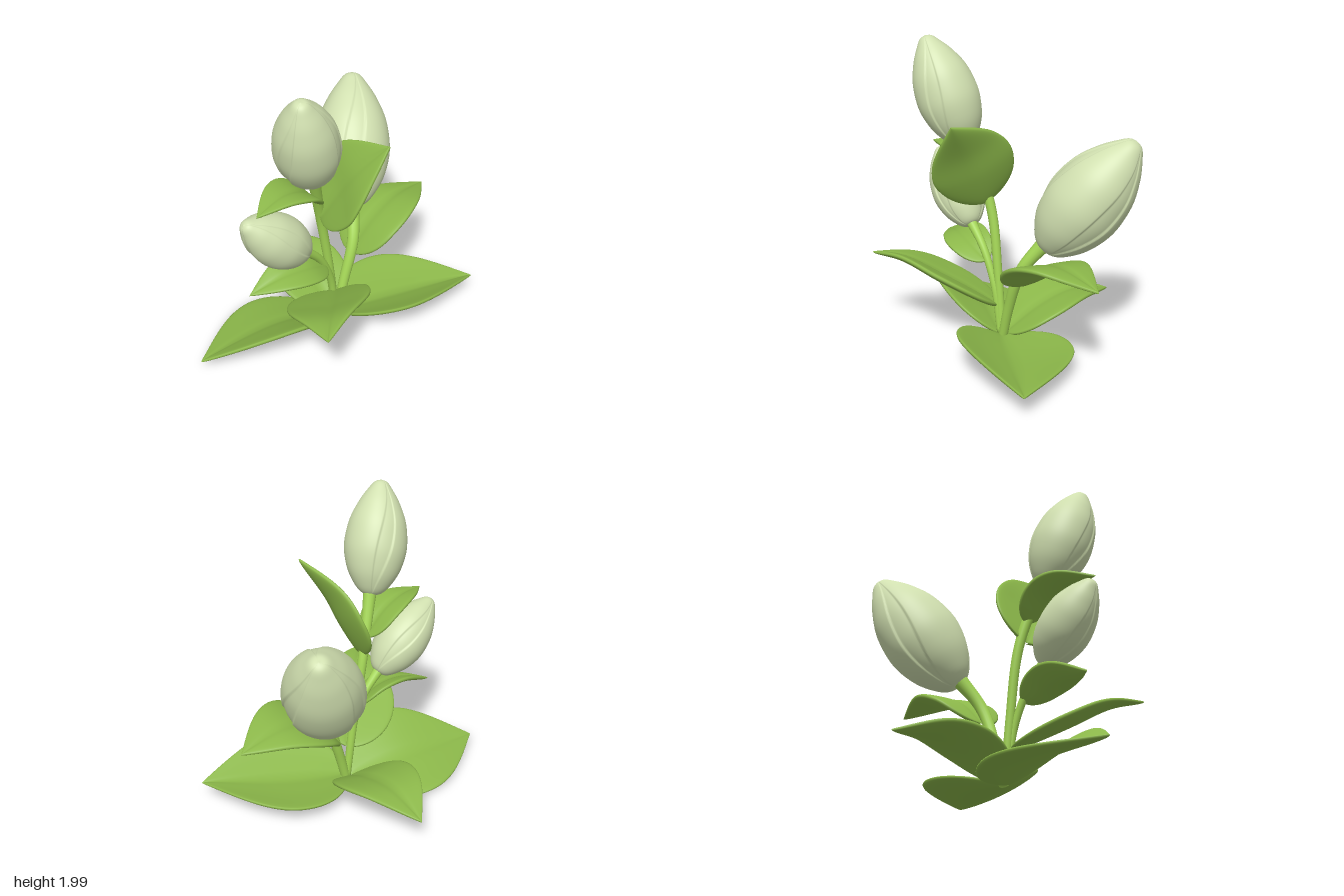
import * as THREE from 'three';

const V = (p) => new THREE.Vector3(...p);

// Closed, smooth skin over a list of rings (each counter-clockwise about the path)
function loft(rings) {
  const n = rings[0].length, pos = [], idx = [];
  rings.forEach((r) => r.forEach((p) => pos.push(p.x, p.y, p.z)));
  for (let i = 0; i < rings.length - 1; i++) {
    for (let j = 0; j < n; j++) {
      const k = (j + 1) % n;
      const a = i * n + j, b = i * n + k, c = (i + 1) * n + k, d = (i + 1) * n + j;
      idx.push(a, b, d, b, c, d);
    }
  }
  const g = new THREE.BufferGeometry();
  g.setAttribute('position', new THREE.Float32BufferAttribute(pos, 3));
  g.setIndex(idx);
  g.computeVertexNormals();
  return g;
}

// Thick cupped leaf: path = midrib, side = direction across the blade, w = half width
function leafGeometry({ path, side, w, cup = 0.16, thick = 0.028 }) {
  const curve = new THREE.CatmullRomCurve3(path.map(V));
  const rings = [], steps = 40, around = 40;
  for (let i = 0; i <= steps; i++) {
    const t = Math.min(0.9995, Math.max(0.0005, 0.5 - 0.5 * Math.cos(Math.PI * i / steps)));
    const c = curve.getPointAt(t), T = curve.getTangentAt(t);
    const S = V(side).addScaledVector(T, -V(side).dot(T)).normalize();
    const N = T.clone().cross(S);
    const s = Math.sin(Math.PI * Math.pow(t, 0.75));
    const half = w * Math.pow(s, t < 0.4 ? 0.66 : 1);
    const th = thick * Math.pow(s, 0.4);
    const ring = [];
    for (let j = 0; j < around; j++) {
      const f = j / around * Math.PI * 2, a = Math.cos(f), h = Math.sin(f);
      let lift = cup * half * Math.pow(Math.abs(a), 1.5);
      lift += th * Math.sign(h) * Math.pow(Math.abs(h), 0.6);
      if (h > 0) lift -= 0.4 * th * Math.exp(-a * a * 60); // midrib groove
      ring.push(c.clone().addScaledVector(S, a * half).addScaledVector(N, lift));
    }
    rings.push(ring);
  }
  return loft(rings);
}

// Tapered stem flaring into the bud
function stemGeometry(path, r0, r1, flare) {
  const curve = new THREE.CatmullRomCurve3(path.map(V));
  const rings = [], steps = 28, around = 16;
  const ref = new THREE.Vector3(0, 0, 1);
  const addRing = (t, r) => {
    const c = curve.getPointAt(t), T = curve.getTangentAt(t);
    const S = ref.clone().addScaledVector(T, -ref.dot(T)).normalize();
    const N = T.clone().cross(S);
    rings.push(Array.from({ length: around }, (_, j) => {
      const f = j / around * Math.PI * 2;
      return c.clone().addScaledVector(S, r * Math.cos(f)).addScaledVector(N, r * Math.sin(f));
    }));
  };
  addRing(0, 0.0005);
  for (let i = 0; i <= steps; i++) {
    const t = i / steps;
    addRing(t, r0 + (r1 - r0) * t + flare * Math.pow(t, 8));
  }
  addRing(1, 0.0005);
  return loft(rings);
}

// Egg-shaped bud: three raised outer petals with narrow lens-shaped gaps between them
const budProfile = new THREE.CatmullRomCurve3([
  [0.001, 0], [0.3, 0.012], [0.57, 0.085], [0.87, 0.24], [1, 0.42],
  [0.92, 0.62], [0.66, 0.8], [0.38, 0.92], [0.2, 0.98], [0.001, 1],
].map(([r, y]) => new THREE.Vector3(r, y, 0)));

function budGeometry(base, tip, radius, turn) {
  const B = V(base), axis = V(tip).sub(B), T = axis.clone().normalize();
  const S = new THREE.Vector3(0, 0, 1).addScaledVector(T, -T.z).normalize();
  const N = T.clone().cross(S);
  const rings = [], steps = 48, around = 210;
  for (let i = 0; i <= steps; i++) {
    const p = budProfile.getPoint(i / steps), ring = [];
    const gap = 0.025 + 0.1 * Math.sin(Math.PI * Math.min(1, Math.max(0, p.y)));
    for (let j = 0; j < around; j++) {
      const f = j / around * Math.PI * 2;
      const u = j / around * 3 % 1; // position across one petal
      const edge = Math.min(u, 1 - u);
      const raised = 0.96 + 0.04 * THREE.MathUtils.smoothstep(edge, gap - 0.016, gap + 0.01);
      const r = radius * Math.max(0.001, p.x) * raised;
      const g = f + turn + 0.6 * p.y;
      ring.push(B.clone().addScaledVector(axis, p.y)
        .addScaledVector(S, r * Math.cos(g)).addScaledVector(N, r * Math.sin(g)));
    }
    rings.push(ring);
  }
  return loft(rings);
}

export function createModel() {
  const group = new THREE.Group();
  const material = (name, color) => {
    const m = new THREE.MeshStandardMaterial({ color });
    m.name = name;
    return m;
  };
  const leafGreen = material('leaf green', 0x8cb84a);
  const stemGreen = material('stem green', 0xa4d656);
  const budCream = material('pale bud', 0xd1e0b0);
  const add = (name, geometry, mat) => {
    const mesh = new THREE.Mesh(geometry, mat);
    mesh.name = name;
    group.add(mesh);
  };

  // Stems
  add('tallStem', stemGeometry([[0.03, 0.05, 0.05], [-0.02, 0.45, 0.055], [-0.1, 0.92, 0.072], [-0.22, 1.37, 0.185]], 0.026, 0.034, 0.012), stemGreen);
  add('largeBudStem', stemGeometry([[0.04, 0.05, 0.05], [0.1, 0.28, 0.035], [0.2, 0.58, -0.01], [0.28, 0.8, -0.16]], 0.03, 0.042, 0.016), stemGreen);
  add('smallBudStem', stemGeometry([[0.02, 0.08, 0.06], [-0.03, 0.4, 0.08], [-0.13, 0.62, 0.11], [-0.28, 0.78, 0.145]], 0.022, 0.026, 0.012), stemGreen);

  // Buds
  add('tallBud', budGeometry([-0.225, 1.315, 0.185], [-0.405, 1.99, 0.38], 0.2, 0.5), budCream);
  add('largeBud', budGeometry([0.27, 0.73, -0.14], [0.553, 1.45, -0.6], 0.253, 1.2), budCream);
  add('smallBud', budGeometry([-0.255, 0.75, 0.14], [-0.695, 1.165, 0.195], 0.17, 0.2), budCream);

  // Leaves
  const leaves = {
    groundLeafRight: { path: [[0, 0.05, 0.05], [-0.4, 0.105, 0.01], [-0.97, 0.07, 0.03]], side: [0, 0.37, 0.93], w: 0.36, cup: 0.19 },
    groundLeafLeft: { path: [[0.04, 0.06, 0.06], [0.46, 0.09, 0.16], [0.97, 0.16, 0.32]], side: [0.27, -0.18, -0.95], w: 0.37, cup: 0.34 },
    groundLeafBack: { path: [[0.02, 0.06, 0.02], [0, 0.19, -0.22], [-0.03, 0.25, -0.46], [-0.05, 0.21, -0.77]], side: [-1, 0, 0], w: 0.257 },
    frontLeaf: { path: [[0.01, 0.27, 0.08], [-0.205, 0.43, 0.36], [-0.35, 0.55, 0.58], [-0.46, 0.58, 0.76]], side: [0.8, 0.28, 0.54], w: 0.272 },
    smallStemLeaf: { path: [[-0.09, 0.55, 0.11], [-0.25, 0.62, 0.15], [-0.42, 0.635, 0.16], [-0.66, 0.575, 0.15]], side: [0, -0.3, 0.95], w: 0.14, thick: 0.022 },
    largeStemLeaf: { path: [[0.18, 0.465, -0.02], [0.36, 0.635, -0.05], [0.56, 0.71, -0.1], [0.88, 0.68, -0.19]], side: [-0.2, -0.15, -0.97], w: 0.257, cup: 0.06 },
    upperLeafRight: { path: [[-0.14, 1.07, 0.1], [-0.28, 1.2, 0.13], [-0.42, 1.25, 0.17], [-0.64, 1.235, 0.26]], side: [0.3, -0.1, 0.95], w: 0.145, thick: 0.022 },
    upperLeafLeft: { path: [[-0.12, 0.94, 0.11], [-0.03, 1.16, 0.19], [0.03, 1.33, 0.28], [0.16, 1.55, 0.43]], side: [0.2, 0.43, -0.88], w: 0.268, cup: 0.19 },
  };
  for (const [name, spec] of Object.entries(leaves)) add(name, leafGeometry(spec), leafGreen);

  return group;
}
